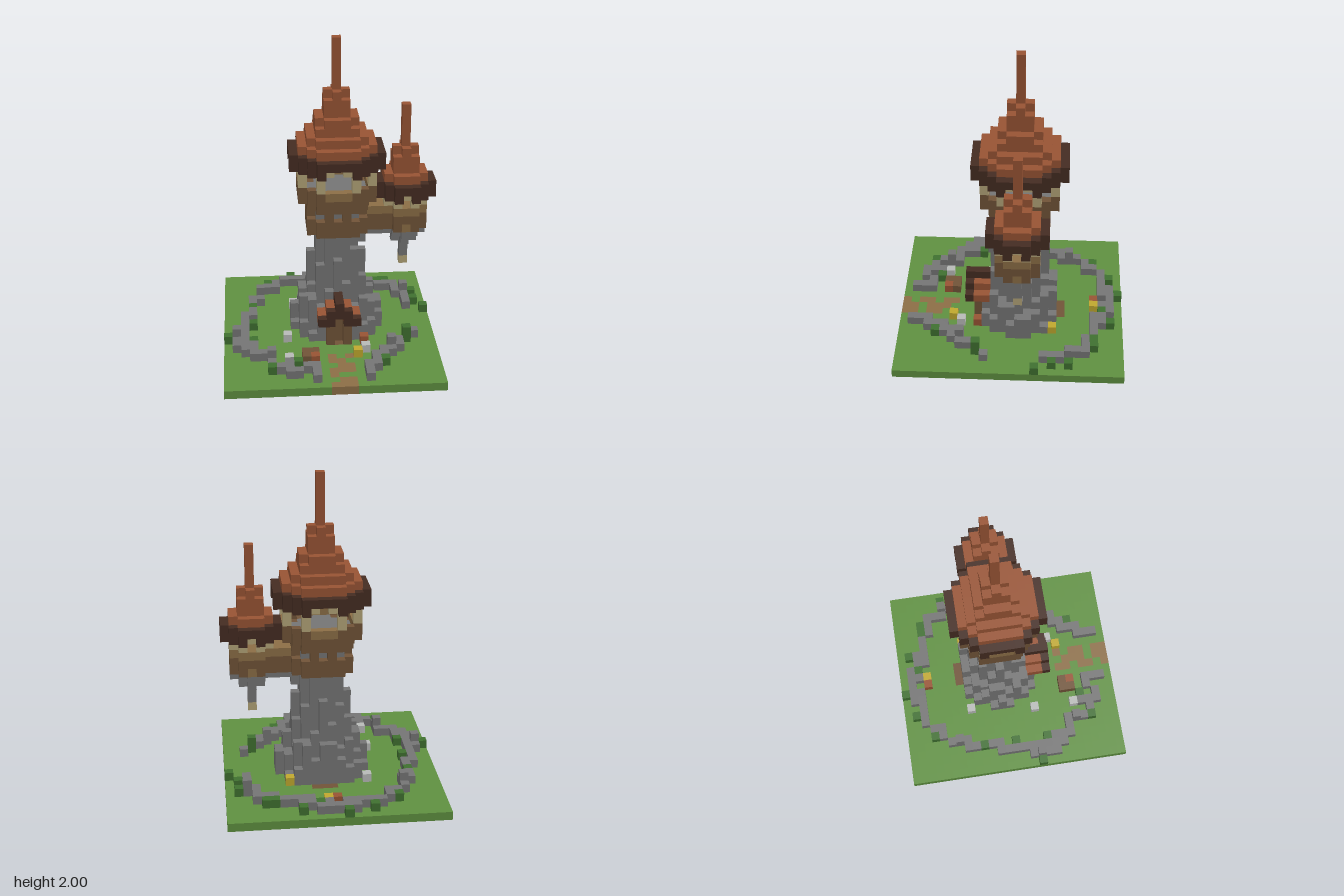
import * as THREE from 'three';
import { mergeGeometries } from 'three/addons/utils/BufferGeometryUtils.js';

const V = 2 / 37; // edge of one block
const COLORS = {
  grass: 0x5f9040, bush: 0x3f7030, stone: 0x757575, roofTile: 0x985434, darkWood: 0x452c22,
  wood: 0x715438, plank: 0x8c6e46, pale: 0xb3a478, silver: 0xb8bab8, gold: 0xc0a82e,
};

export function createModel() {
  const blocks = new Map(); // "x,y,z" -> [part, colour]
  const key = (x, y, z) => x + ',' + y + ',' + z;
  const put = (part, color, x, y, z) => blocks.set(key(x, y, z), [part, color]);

  // Calls fn(dx, dz, squared radius) for every cell with min < r2 <= max
  const ring = (min, max, fn) => {
    for (let a = -6; a <= 6; a++) for (let b = -6; b <= 6; b++) {
      const r2 = a * a + b * b;
      if (r2 > min && r2 <= max) fn(a, b, r2);
    }
  };
  // Fills a disc or ring on layers y0..y1 about a centre
  const disc = (part, color, cx, cz, y0, y1, max, min = -1, test = () => true) =>
    ring(min, max, (a, b) => {
      for (let y = y0; y <= y1; y++) if (test(a, b)) put(part, color, cx + a, y, cz + b);
    });
  const lo = (a, b) => Math.min(Math.abs(a), Math.abs(b));
  const hash = (a, b) => Math.abs((a * 7 + b * 13 + a * b * 5) % 3);

  const TX = 1, TZ = -1; // main tower axis
  const SX = 9;          // side turret axis

  // Ground slab
  for (let x = -12; x <= 12; x++) for (let z = -13; z <= 13; z++) put('ground', 'grass', x, 0, z);
  disc('ground', 'wood', TX, TZ, 0, 0, 26);
  disc('ground', 'stone', TX, TZ, 0, 0, 4);
  put('ground', 'wood', TX, 0, TZ);

  // Trodden path: x cells per row from the door outwards
  [[0, 2], [0, 1], [1, 2], [0, 1, 2], [0], [1, 2], [0, 1, 2]].forEach((row, i) => {
    const z = 7 + i;
    if (i !== 4) row.forEach((x) => put('path', 'plank', x, 0, z));
    else put('path', 'plank', 0, 0, z);
  });

  // Garden wall: runs of [z, xStart, xEnd]
  [[-12, -2, 2], [-11, -5, -1], [-11, 1, 1], [-11, 3, 4], [-10, -6, -6], [-10, 3, 6], [-9, -7, -6],
    [-9, 7, 9], [-8, -8, -8], [-8, 9, 9], [-7, -8, -8], [-7, 9, 10], [-6, -9, -8], [-6, 10, 10],
    [-5, -9, -9], [-5, 10, 10], [-4, 10, 10], [-3, -9, -9], [-2, -10, -9], [-1, -10, -10],
    [0, -10, -10], [1, -10, -10], [2, -11, -10], [3, -11, -10], [3, 10, 10], [4, -11, -10],
    [5, -11, -9], [5, 8, 8], [6, -10, -9], [6, 7, 8], [7, -9, -7], [7, 6, 7], [8, -7, -7],
    [8, 5, 6], [9, -7, -7], [9, -5, -5], [9, 5, 5], [10, -6, -5], [10, -3, -2], [10, 4, 5],
    [11, -5, -4], [11, -2, -2], [11, 4, 4], [12, -2, -2], [12, 4, 4],
  ].forEach(([z, x0, x1]) => {
    for (let x = x0; x <= x1; x++) {
      put('gardenWall', 'stone', x, 1, z);
      put('ground', 'wood', x, 0, z);
    }
  });
  [[-11, 3], [-7, 8], [-8, -7], [7, 6], [10, -7]].forEach(([x, z]) => put('gardenWall', 'stone', x, 2, z));

  // Bushes, flowers and loose blocks
  const scatter = (part, color, cells) => cells.forEach(([x, z]) => put(part, color, x, 1, z));
  scatter('bushes', 'bush', [[-1, -13], [4, -12], [-4, -12], [2, -11], [-7, -10], [7, -10], [8, -10],
    [11, -7], [-9, -4], [12, -3], [-9, 0], [-12, 3], [-9, 4], [9, 4], [-4, 9], [6, 9], [-7, 10], [11, -5]]);
  put('bushes', 'bush', 9, 2, 4);
  scatter('paleRocks', 'silver', [[-4, -5], [-5, 3], [4, 6], [-5, 8]]);
  scatter('yellowFlowers', 'gold', [[5, -5], [1, -10], [3, 7]]);
  scatter('redFlowers', 'roofTile', [[0, -10], [4, 4]]);
  scatter('crates', 'wood', [[-3, 7], [-2, 7], [-3, 8]]);
  scatter('crates', 'roofTile', [[-2, 8]]);

  // Stone shaft with ragged buttresses at its foot
  ring(-1, 26, (a, b, r2) => {
    const m = lo(a, b);
    let h = 13;
    if (r2 > 5) h = m === 2 && r2 === 8 ? 11 - hash(a, b) : 10 - m * 2 - hash(a, b) * (m ? 1 : 0);
    if (r2 > 13) h = 5 - (m ? hash(a, b) : 0);
    if (r2 > 20) h = Math.abs(b) > 4 ? 0 : 3 - (m ? hash(a, b) : 0);
    for (let y = 1; y <= h; y++) put('towerShaft', 'stone', TX + a, y, TZ + b);
  });

  // Timber storey with small windows showing the stone core
  disc('timberStorey', 'wood', TX, TZ, 14, 17, 13);
  disc('towerCore', 'stone', TX, TZ, 16, 16, 8);
  ring(8, 13, (a, b) => {
    if (Math.max(Math.abs(a), Math.abs(b)) === 3 && lo(a, b) !== 1) blocks.delete(key(TX + a, 16, TZ + b));
  });

  // Lookout: floor, parapet, posts and arch shoulders
  disc('lookoutFloor', 'wood', TX, TZ, 18, 18, 20);
  disc('lookoutFloor', 'stone', TX, TZ, 18, 18, 10);
  disc('parapet', 'wood', TX, TZ, 19, 19, 20, 13);
  disc('parapet', 'plank', TX, TZ, 19, 19, 20, 13, (a, b) => lo(a, b) < 2);
  disc('lookoutPosts', 'pale', TX, TZ, 20, 22, 20, 19);
  disc('lookoutPosts', 'pale', TX, TZ, 22, 22, 17, 16);

  // Main roof: arched eaves and stepped spire
  disc('mainEaves', 'darkWood', TX, TZ, 22, 22, 29, 20, (a, b) => lo(a, b) >= 2);
  disc('mainEaves', 'darkWood', TX, TZ, 23, 23, 29, 20);
  [[24, 24, 20], [25, 25, 13], [26, 26, 8], [27, 27, 5], [28, 29, 2], [30, 30, 1], [31, 36, 0]]
    .forEach(([y0, y1, r2]) => disc('mainRoof', 'roofTile', TX, TZ, y0, y1, r2));

  // Bridge to the side turret with a stone brace
  for (let x = 5; x <= 7; x++) for (let z = -1; z <= 1; z++) for (let y = 14; y <= 16; y++)
    put('bridge', y === 16 ? 'plank' : 'wood', x, y, TZ + z);
  [[4, 12], [4, 13], [5, 13], [6, 13]].forEach(([x, y]) => put('bridgeBrace', 'stone', x, y, TZ));

  // Side turret: hanging stone, body, posts, eaves and spire
  disc('turretPendant', 'pale', SX, TZ, 9, 9, 0);
  disc('turretPendant', 'stone', SX, TZ, 10, 11, 0);
  disc('turretPendant', 'stone', SX, TZ, 12, 12, 1);
  disc('turretPendant', 'stone', SX, TZ, 13, 13, 4);
  disc('turretBody', 'wood', SX, TZ, 14, 15, 5);
  disc('turretBody', 'plank', SX, TZ, 14, 14, 4, 3);
  disc('turretBody', 'plank', SX, TZ, 16, 16, 5);
  disc('turretPosts', 'pale', SX, TZ, 17, 18, 5, 4);
  disc('turretPosts', 'pale', SX, TZ, 18, 18, 4, 3);
  disc('turretEaves', 'darkWood', SX, TZ, 18, 18, 10, 5, (a, b) => lo(a, b) > 0);
  disc('turretEaves', 'darkWood', SX, TZ, 19, 19, 10, 5);
  [[20, 20, 5], [21, 22, 2], [23, 23, 1], [24, 28, 0]]
    .forEach(([y0, y1, r2]) => disc('turretRoof', 'roofTile', SX, TZ, y0, y1, r2));

  // Doorway and its gabled hood
  for (let y = 1; y <= 3; y++) {
    for (let a = -1; a <= 1; a++) put('door', 'wood', TX + a, y, 3);
    for (const a of [-1, 1]) put('doorPosts', 'wood', TX + a, y, 4);
  }
  for (let z = 3; z <= 5; z++) for (let a = -2; a <= 2; a++) {
    const color = z === 5 || a === 0 ? 'darkWood' : 'roofTile';
    put('doorHood', color, TX + a, 6 - Math.abs(a), z);
    if (z < 5 && Math.abs(a) === 1) put('doorHood', color, TX + a, 4, z);
  }
  for (const a of [-1, 0, 1]) put('doorHood', 'darkWood', TX + a, 4 + (a ? 0 : 1), 5);

  // Turn blocks into meshes, keeping only the exposed faces
  const faces = [[1, 0, 0], [-1, 0, 0], [0, 1, 0], [0, -1, 0], [0, 0, 1], [0, 0, -1]].map((d) => {
    const g = new THREE.PlaneGeometry(V, V).translate(0, 0, V / 2);
    if (d[0]) g.rotateY(d[0] * Math.PI / 2);
    if (d[1]) g.rotateX(-d[1] * Math.PI / 2);
    if (d[2] < 0) g.rotateY(Math.PI);
    return { d, g };
  });
  const batches = new Map();
  for (const [k, [part, color]] of blocks) {
    const [x, y, z] = k.split(',').map(Number);
    for (const { d, g } of faces) {
      if (blocks.has(key(x + d[0], y + d[1], z + d[2]))) continue;
      const id = part + '|' + color;
      if (!batches.has(id)) batches.set(id, []);
      batches.get(id).push(g.clone().translate(x * V, (y + 0.5) * V, z * V));
    }
  }
  const materials = {};
  for (const name in COLORS) {
    materials[name] = new THREE.MeshStandardMaterial({ color: COLORS[name] });
    materials[name].name = name;
  }
  const model = new THREE.Group();
  model.name = 'watchtower';
  for (const [id, list] of batches) {
    const [part, color] = id.split('|');
    const mesh = new THREE.Mesh(mergeGeometries(list), materials[color]);
    mesh.name = part;
    model.add(mesh);
  }
  return model;
}
